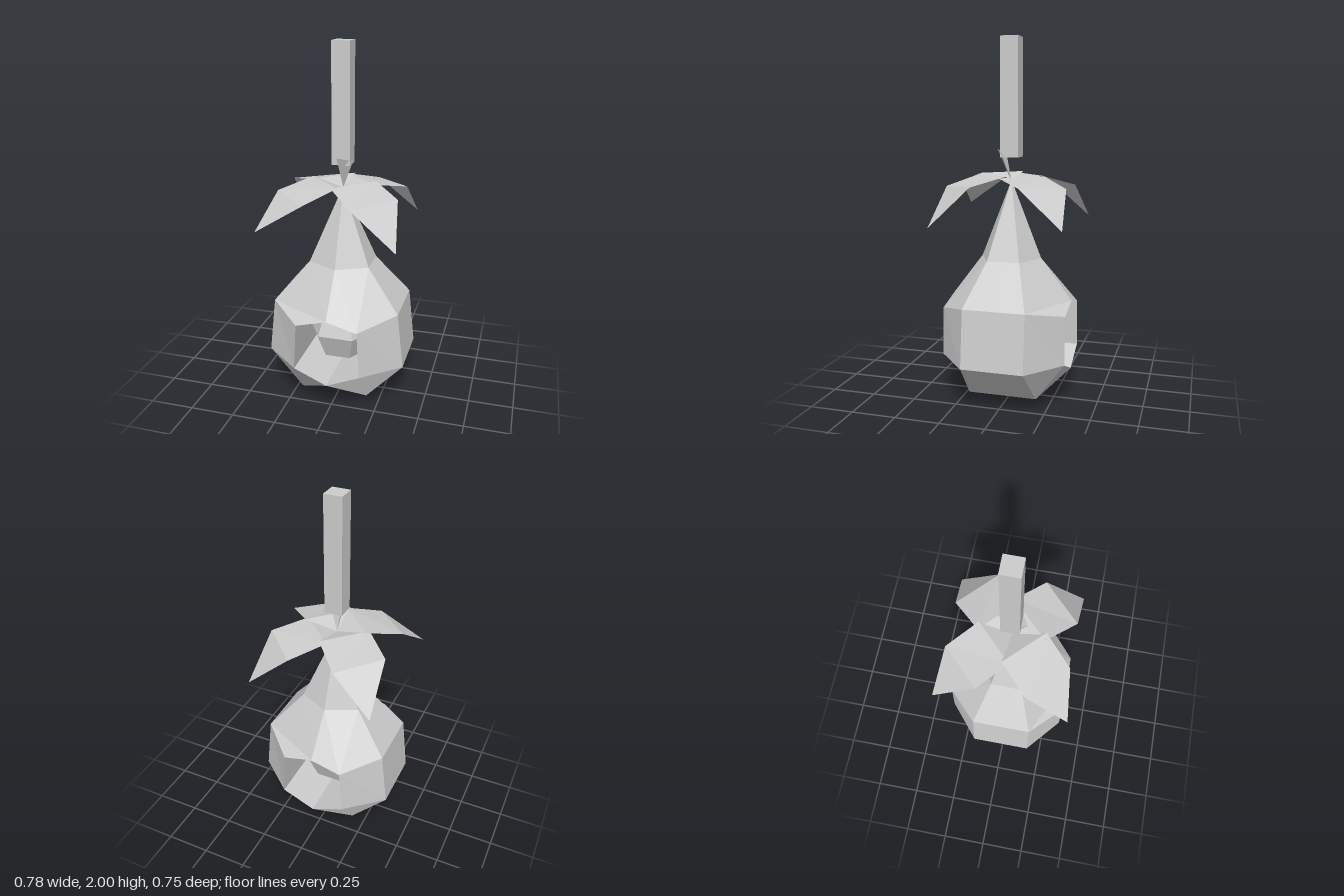
import * as THREE from 'three';

const grey = new THREE.MeshStandardMaterial({ color: 0xcccccc });
grey.name = 'plain grey';
grey.flatShading = true;
grey.side = THREE.DoubleSide;

// Mesh from a list of polygons (each a corner loop), fanned into triangles
function facetMesh(name, faces) {
  const pos = [];
  for (const f of faces)
    for (let i = 1; i < f.length - 1; i++) pos.push(...f[0], ...f[i], ...f[i + 1]);
  const g = new THREE.BufferGeometry();
  g.setAttribute('position', new THREE.Float32BufferAttribute(pos, 3));
  g.computeVertexNormals();
  const m = new THREE.Mesh(g, grey);
  m.name = name;
  return m;
}

// Repeat the faces of one quarter (+x, +z) around x and z
function mirrorFaces(faces) {
  const out = [];
  for (const sx of [1, -1])
    for (const sz of [1, -1])
      for (const f of faces) {
        const g = f.map(([x, y, z]) => [sx * x, y, sz * z]);
        out.push(sx * sz < 0 ? g.reverse() : g);
      }
  return out;
}

export function createModel() {
  const model = new THREE.Group();
  model.name = 'hangingFruit';

  // Fruit body: one quarter of a faceted pear, with an opening at the front
  const top = [0, 1.23, 0], bottom = [0, 0, 0];
  const n0 = [0, 0.8, 0.17], n1 = [0.17, 0.8, 0.09], n2 = [0.17, 0.8, 0];
  const s1 = [0.355, 0.575, 0.17], s2 = [0.355, 0.575, 0];
  const w1 = [0.39, 0.26, 0.17], w2 = [0.39, 0.26, 0];
  const b1 = [0.19, 0.055, 0.19], b2 = [0.19, 0.055, 0];
  const hole = [[0, 0.57, 0.345], [0.17, 0.525, 0.345], [0.185, 0.26, 0.345], [0, 0.18, 0.345]];
  const [h0, h1, h2, h3] = hole;
  model.add(facetMesh('body', mirrorFaces([
    [top, n0, n1], [top, n1, n2],
    [h1, s1, n1, n0, h0], [n1, s1, s2, n2],
    [s1, w1, w2, s2], [h1, h2, w1, s1],
    [w1, b1, b2, w2], [h3, b1, w1, h2],
    [bottom, b1, h3], [bottom, b2, b1],
  ])));

  // Tunnel running through the body from front to back
  const mid = hole.map(([x, y]) => [x, y, 0]);
  const walls = [0, 1, 2].map((i) => [mid[i], mid[i + 1], hole[i + 1], hole[i]]);
  model.add(facetMesh('tunnel', mirrorFaces(walls)));

  // Core ball inside the tunnel
  const core = new THREE.Mesh(new THREE.SphereGeometry(0.2, 6, 4), grey);
  core.name = 'core';
  core.position.y = 0.38;
  model.add(core);

  // Four drooping leaves on the diagonals: [sx, sz, inner height, tip]
  const leaves = [
    [-1, 1, 1.266, [-0.375, 1.05, 0.37]],
    [1, 1, 1.262, [0.37, 1.0, 0.35]],
    [-1, -1, 1.258, [-0.35, 1.0, -0.375]],
    [1, -1, 1.252, [0.355, 1.01, -0.36]],
  ];
  for (const [sx, sz, y, tip] of leaves) {
    const root = [0, 1.22, 0];
    const a = [sx * 0.18, y, -sz * 0.02], b = [-sx * 0.02, y, sz * 0.18];
    const c = [sx * 0.127, 1.2, sz * 0.333], d = [sx * 0.33, 1.215, sz * 0.13];
    const faces = [[root, b, a], [a, b, c, d], [d, c, tip]];
    model.add(facetMesh('leaf', sx * sz < 0 ? faces.map((f) => f.reverse()) : faces));
  }

  // Small pointed bud beside the stem
  const p = [0, 1.22, 0], q = [-0.013, 1.4, 0.085], r = [0.065, 1.38, 0.04], t = [-0.013, 1.36, 0.03];
  model.add(facetMesh('bud', [[p, r, q], [p, q, t], [p, t, r], [q, r, t]]));

  // Stem
  const stem = new THREE.Mesh(new THREE.BoxGeometry(0.1, 0.645, 0.1), grey);
  stem.name = 'stem';
  stem.position.y = 1.6775;
  model.add(stem);

  return model;
}
